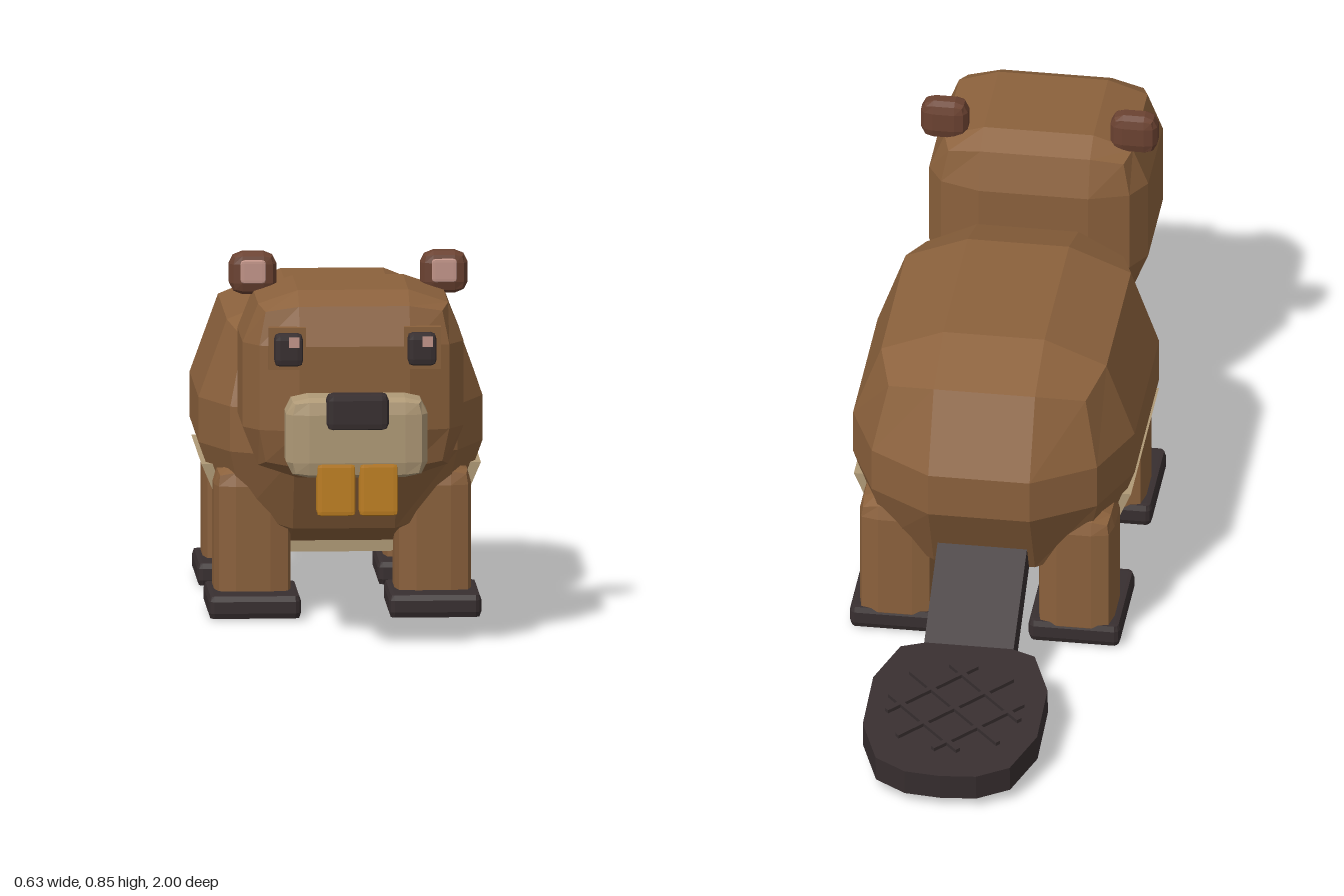
import * as THREE from 'three';

const mat = (name, color) => {
  const m = new THREE.MeshStandardMaterial({ color });
  m.name = name;
  return m;
};

// Gives every face its own flat normal
function faceted(geo) {
  const g = geo.index ? geo.toNonIndexed() : geo;
  g.computeVertexNormals();
  return g;
}

// Box with faceted rounding: 'inner' is the flat share of each axis,
// 'edge' and 'corner' are how far edges and corners reach outward.
function softBox(w, h, d, inner, edge, corner) {
  const geo = new THREE.BoxGeometry(2, 2, 2, 3, 3, 3);
  const p = geo.attributes.position;
  const half = [w / 2, h / 2, d / 2];
  const reach = [0, 1, edge, corner];
  for (let i = 0; i < p.count; i++) {
    const v = [p.getX(i), p.getY(i), p.getZ(i)];
    const outer = v.map((c) => Math.abs(c) > 0.9);
    const n = outer.filter(Boolean).length;
    const q = v.map((c, k) => Math.sign(c) * half[k] * (outer[k] ? reach[n] : inner[k]));
    p.setXYZ(i, ...q);
  }
  return faceted(geo);
}

export function createModel() {
  const fur = mat('brown fur', 0x8b613c);
  const cream = mat('cream fur', 0xb09a77);
  const dark = mat('dark skin', 0x382f30);
  const earBrown = mat('ear brown', 0x6b4231);
  const pink = mat('pink', 0xc4968a);
  const orange = mat('tooth orange', 0xc08022);

  const model = new THREE.Group();
  model.name = 'beaver';
  const add = (name, geo, material, x, y, z, parent = model) => {
    const mesh = new THREE.Mesh(geo, material);
    mesh.name = name;
    mesh.position.set(x, y, z);
    parent.add(mesh);
    return mesh;
  };

  // Body
  add('body', softBox(0.63, 0.56, 0.855, [0.36, 0.18, 0.45], 0.8, 0.7), fur, 0, 0.42, 0.045);

  // Belly panel wrapped under the body
  const bellyShape = new THREE.Shape(
    [[-0.31, 0.325], [-0.255, 0.197], [-0.11, 0.127], [0.11, 0.127], [0.255, 0.197], [0.31, 0.325]]
      .map(([x, y]) => new THREE.Vector2(x, y)));
  const belly = new THREE.ExtrudeGeometry(bellyShape, { depth: 0.44, bevelEnabled: false });
  add('belly', faceted(belly), cream, 0, 0, -0.17);

  // Head and snout
  add('head', softBox(0.49, 0.42, 0.395, [0.5, 0.45, 0.58], 0.86, 0.8), fur, 0, 0.58, 0.6725);
  add('muzzle', softBox(0.314, 0.178, 0.13, [0.68, 0.6, 0.6], 0.91, 0.87), cream, 0, 0.484, 0.917);
  add('nose', softBox(0.138, 0.08, 0.046, [0.78, 0.65, 0.6], 0.93, 0.9), dark, 0, 0.546, 0.977);

  // Paired features
  const tooth = softBox(0.086, 0.12, 0.045, [0.75, 0.82, 0.6], 0.95, 0.93);
  const eye = softBox(0.064, 0.073, 0.036, [0.6, 0.6, 0.5], 0.9, 0.85);
  const socket = new THREE.BoxGeometry(0.082, 0.094, 0.02);
  const glint = new THREE.BoxGeometry(0.023, 0.023, 0.008);
  const ear = softBox(0.105, 0.094, 0.058, [0.45, 0.45, 0.4], 0.83, 0.76);
  const innerEar = softBox(0.056, 0.052, 0.012, [0.7, 0.7, 0.5], 0.92, 0.88);
  const leg = softBox(0.17, 0.336, 0.175, [0.45, 0.72, 0.45], 0.9, 0.86);
  const foot = softBox(0.205, 0.052, 0.248, [0.88, 0.5, 0.88], 0.96, 0.93);

  for (const [side, s] of [['left', 1], ['right', -1]]) {
    add(`${side}Tooth`, tooth, orange, s * 0.047, 0.371, 0.96);
    add(`${side}EyeSocket`, socket, fur, s * 0.15, 0.671, 0.861);
    add(`${side}Eye`, eye, dark, s * 0.148, 0.671, 0.883);
    add(`${side}EyeGlint`, glint, pink, s * 0.148 + 0.012, 0.689, 0.899);
    add(`${side}Ear`, ear, earBrown, s * 0.212, 0.799, 0.575);
    add(`${side}InnerEar`, innerEar, pink, s * 0.212, 0.804, 0.602);
    for (const [end, z] of [['Front', 0.29], ['Rear', -0.21]]) {
      add(`${side}${end}Leg`, leg, fur, s * 0.2, 0.168, z);
      add(`${side}${end}Foot`, foot, dark, s * 0.2, 0.0285, z + 0.035);
    }
  }

  // Tail root sloping down from the rump
  const root = add('tailRoot', new THREE.BoxGeometry(0.2, 0.075, 0.32), dark, 0, 0.163, -0.42);
  root.rotation.x = -0.55;

  // Flat tail paddle
  const tail = new THREE.Group();
  tail.name = 'tailPaddle';
  tail.position.set(0, 0.078, -0.76);
  tail.rotation.x = -0.11;
  model.add(tail);
  const side = [[0.07, 0.235], [0.15, 0.205], [0.195, 0.09], [0.195, -0.075], [0.15, -0.19], [0.08, -0.23]];
  const outline = [...side, [0, -0.237], ...side.map(([x, z]) => [-x, z]).reverse()];
  const paddle = new THREE.ExtrudeGeometry(
    new THREE.Shape(outline.map(([x, z]) => new THREE.Vector2(x, z))),
    { depth: 0.062, bevelEnabled: false });
  paddle.rotateX(Math.PI / 2).translate(0, 0.031, 0);
  add('paddle', faceted(paddle), dark, 0, 0, 0, tail);

  // Crossed ridges on top of the paddle
  for (const s of [1, -1]) {
    for (const k of [-1, 0, 1]) {
      const ridge = new THREE.BoxGeometry(0.012, 0.014, k ? 0.25 : 0.32);
      const mesh = add('tailRidge', ridge, dark, k * 0.06, 0.033, -s * k * 0.06, tail);
      mesh.rotation.y = s * Math.PI / 4;
    }
  }
  return model;
}
